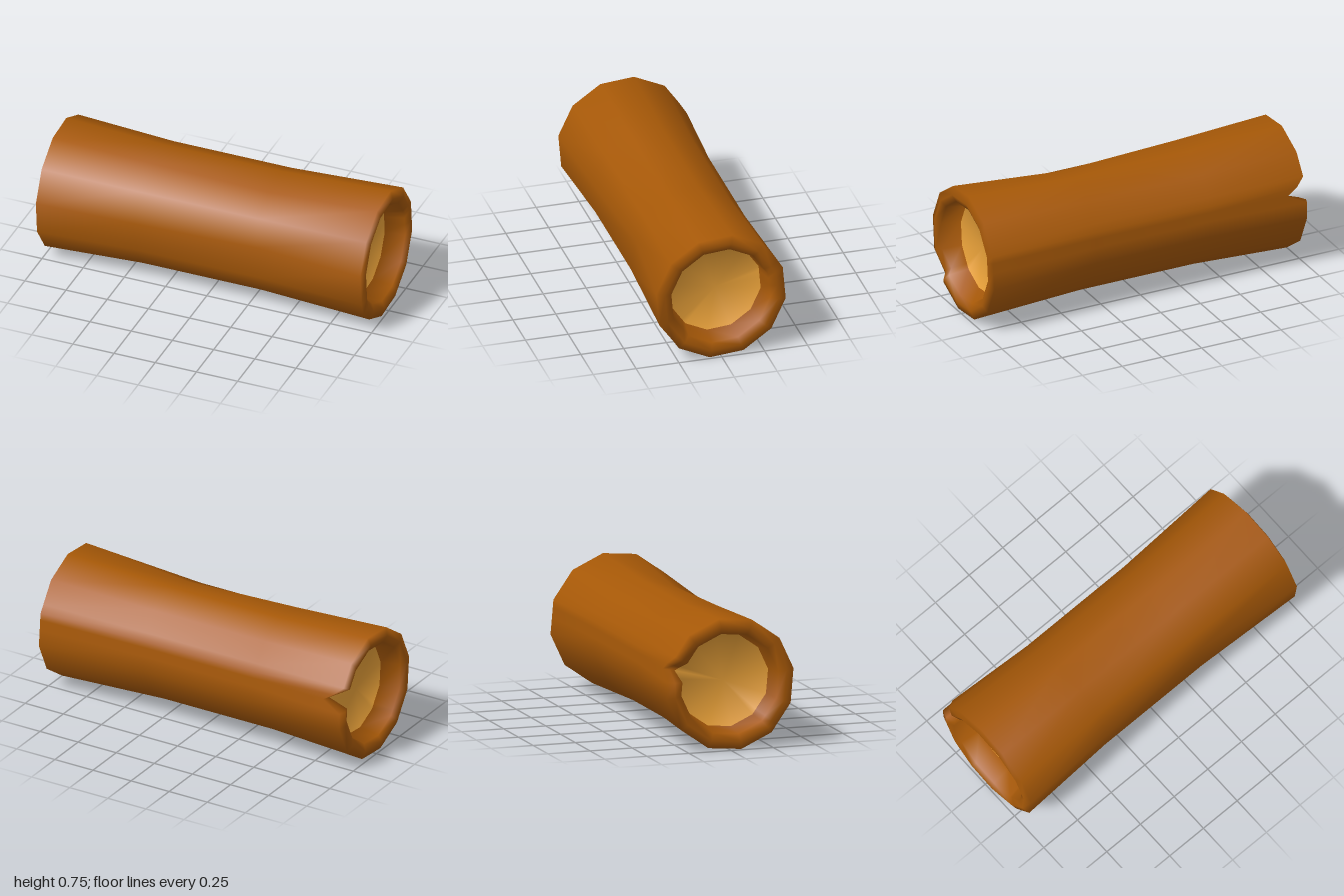
import * as THREE from 'three';
import { mergeVertices } from 'three/addons/utils/BufferGeometryUtils.js';

const DEG = Math.PI / 180;
const CENTRE_Y = 0.38;
const CRACK = 133;

// Twelve main columns, plus extra ones for the crack and the notch
const columns = [20, 50, 80, 110, CRACK, 140, 170, 200, 230, 260, 275, 284, 290, 298, 320, 350];

// How far the broken notch cuts into the right end, per column
const notch = { 284: -0.87, 290: -0.93 };

// Weathered middle: radius factors of single columns at x = 0.32
const dents = { 20: 0.93, 80: 0.87 };

// Each station is [x, radius]; the surface turns around the x axis
const stations = [
  [-0.865, 0], [-0.865, 0.27],                            // right hollow
  [-0.98, 0.293], [-1, 0.335], [-0.985, 0.381],           // right rim
  [-0.4, 0.353], [0.32, 0.353],                           // waist
  [0.985, 0.383], [1, 0.335], [0.98, 0.293],              // left rim
  [0.865, 0.27], [0.865, 0],                              // left hollow
];

function point(x, r, angle) {
  // keep the extra columns on the flat sides of the twelve-sided section
  const chord = Math.cos(15 * DEG) / Math.cos((((angle - 20 + 360) % 30) - 15) * DEG);
  let radius = r * chord;
  if (r > 0 && x < -0.8) {
    // the bark swells beside the notch
    if (angle === 275 && r > 0.3) radius += 0.01;
    if (angle === 284 && r < 0.3) radius += 0.03;
    if (notch[angle]) x = Math.max(x, notch[angle] + (r < 0.3 ? 0.015 : 0));
  }
  // small crack low on the front of the left end
  if (angle === CRACK && x > 0.95) x -= 0.025;
  if (x === 0.32) radius *= dents[angle] ?? 1;
  return [x, CENTRE_Y + radius * Math.cos(angle * DEG), radius * Math.sin(angle * DEG)];
}

function logGeometry() {
  const positions = [];
  const index = [];
  const n = columns.length;
  const last = stations.length - 1;
  stations.forEach(([x, r], i) => {
    columns.forEach((angle, j) => {
      positions.push(...point(x, r, angle));
      if (i === last) return;
      const a = i * n + j;
      const b = i * n + ((j + 1) % n);
      index.push(a, b, a + n, b, b + n, a + n);
    });
  });
  const geometry = new THREE.BufferGeometry();
  geometry.setAttribute('position', new THREE.Float32BufferAttribute(positions, 3));
  geometry.setIndex(index);
  const merged = mergeVertices(geometry, 1e-5);
  merged.computeVertexNormals();
  // pale wood in the first and last band, bark between
  const band = n * 6;
  merged.clearGroups();
  merged.addGroup(0, band, 1);
  merged.addGroup(band, band * (last - 2), 0);
  merged.addGroup(band * (last - 1), band, 1);
  return merged;
}

export function createModel() {
  const group = new THREE.Group();
  group.name = 'hollowLog';

  const bark = new THREE.MeshStandardMaterial({ name: 'bark brown', color: 0xa65807 });
  const wood = new THREE.MeshStandardMaterial({ name: 'pale wood', color: 0xe69f38 });

  const log = new THREE.Mesh(logGeometry(), [bark, wood]);
  log.name = 'log';
  group.add(log);
  return group;
}
